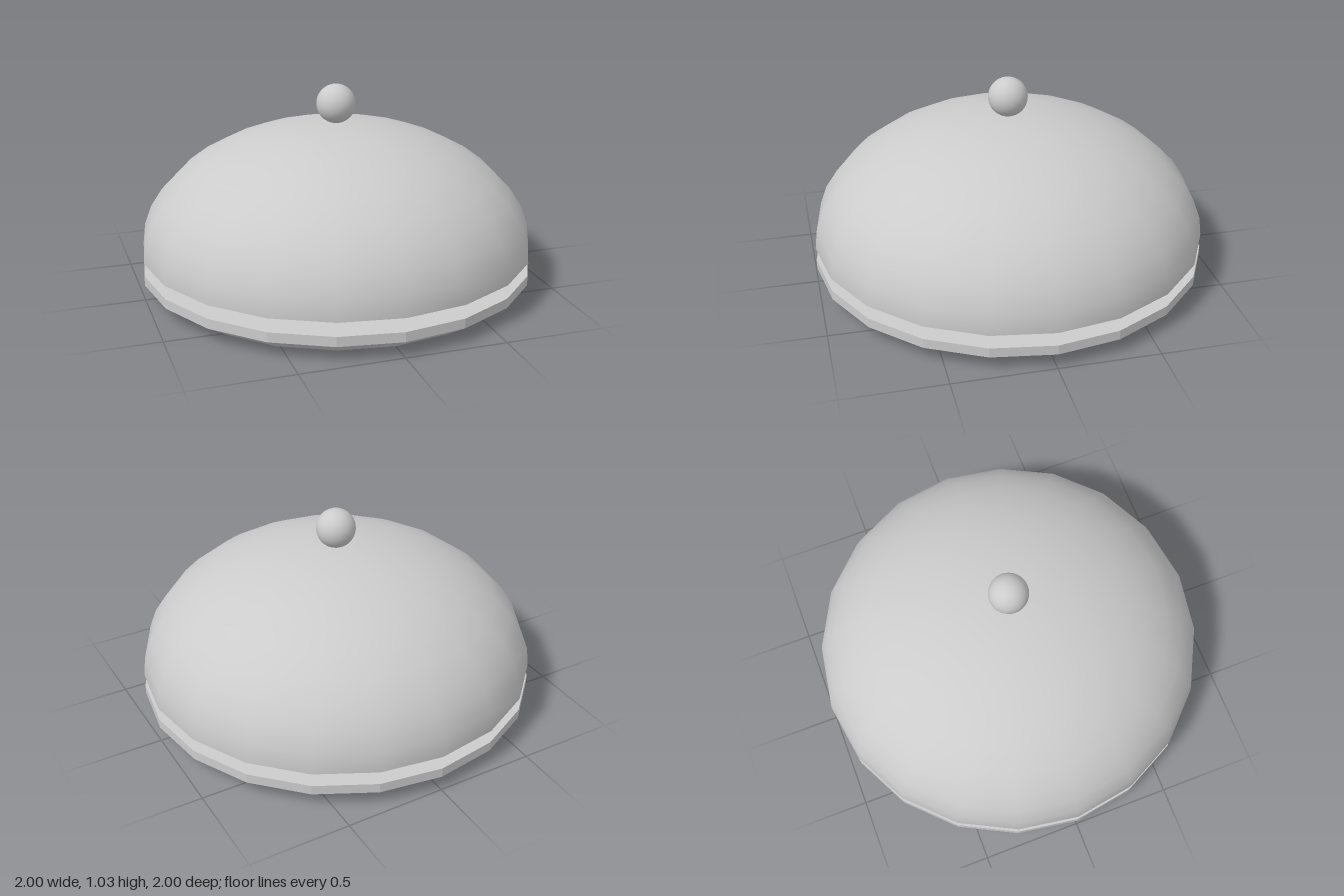
import * as THREE from 'three';
import { toCreasedNormals } from 'three/addons/utils/BufferGeometryUtils.js';

const SIDES = 20;

export function createModel() {
  const group = new THREE.Group();
  const material = new THREE.MeshStandardMaterial({ color: 0xcccccc });
  const add = (name, geometry, y = 0) => {
    const mesh = new THREE.Mesh(geometry, material);
    mesh.name = name;
    mesh.position.y = y;
    group.add(mesh);
    return mesh;
  };

  // Tray: flat bottom, sloping underside, short faceted rim, flat top
  const trayProfile = [[0, 0], [0.875, 0], [1, 0.078], [1, 0.127], [0, 0.127]]
    .map(([r, y]) => new THREE.Vector2(r, y));
  add('tray', toCreasedNormals(new THREE.LatheGeometry(trayProfile, SIDES), 0.25));

  // Lid: smooth flattened half sphere hovering above the tray
  const dome = new THREE.SphereGeometry(1, SIDES, 10, 0, Math.PI * 2, 0, Math.PI / 2);
  dome.scale(1, 0.638, 1);
  add('lid', dome, 0.195);

  // Flat underside closing the lid
  const underside = new THREE.CircleGeometry(1, SIDES);
  underside.rotateX(Math.PI / 2);
  add('lidUnderside', underside, 0.195);

  // Round handle on top of the lid
  add('knob', new THREE.SphereGeometry(0.099, 32, 20), 0.933);

  return group;
}
